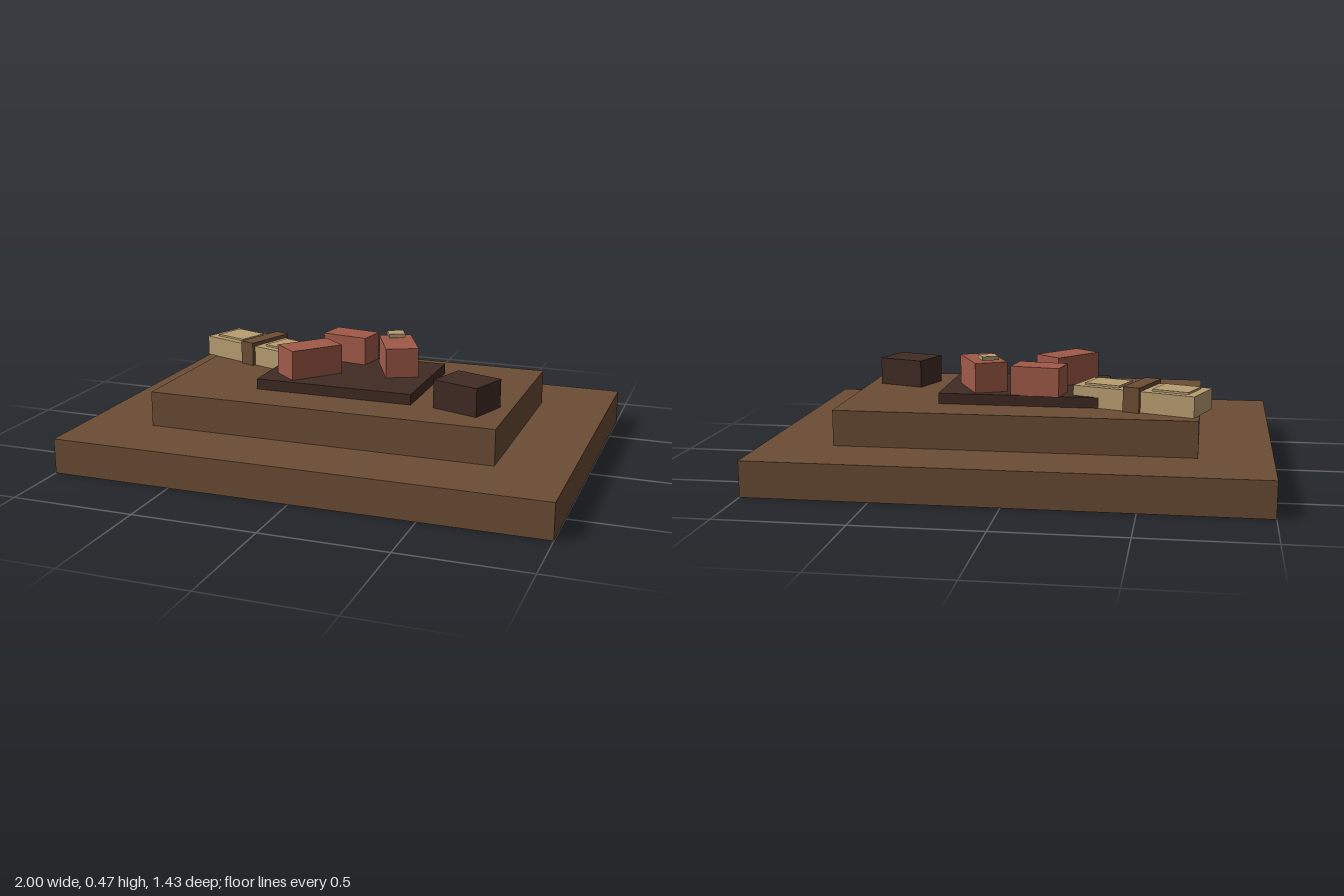
import * as THREE from 'three';

const material = (name, color) => {
  const m = new THREE.MeshStandardMaterial({ color });
  m.name = name;
  return m;
};

export function createModel() {
  const wood = material('brown wood', 0x6b4d34);
  const dark = material('dark wood', 0x402b23);
  const clay = material('red clay', 0xa05a48);
  const cream = material('cream paper', 0xb89e72);

  const model = new THREE.Group();
  model.name = 'steppedDisplay';

  // Box of size w, h, d whose underside sits at y, turned about the vertical
  const box = (parent, name, mat, [w, h, d], [x, y, z], turn = 0) => {
    const mesh = new THREE.Mesh(new THREE.BoxGeometry(w, h, d), mat);
    mesh.name = name;
    mesh.position.set(x, y + h / 2, z);
    mesh.rotation.y = turn;
    parent.add(mesh);
    return mesh;
  };

  // Stepped plinth and tray
  box(model, 'lowerStep', wood, [2, 0.143, 1.429], [0, 0, 0]);
  box(model, 'upperStep', wood, [1.429, 0.143, 0.857], [0, 0.143, 0]);
  box(model, 'tray', dark, [0.657, 0.043, 0.486], [0, 0.286, 0]);

  // Loose bricks lying on the tray
  box(model, 'frontBrick', clay, [0.228, 0.121, 0.134], [-0.158, 0.329, 0.086], 0.86);
  box(model, 'backBrick', clay, [0.2, 0.116, 0.126], [-0.073, 0.329, -0.186], -0.16);
  box(model, 'sideBrick', clay, [0.241, 0.121, 0.134], [0.171, 0.329, -0.086], -1.13);
  box(model, 'smallTile', cream, [0.068, 0.016, 0.068], [0.139, 0.457, -0.15], 0.45);

  // Dark block at the corner of the upper step
  box(model, 'darkBlock', dark, [0.2, 0.114, 0.171], [0.543, 0.286, 0.199], -0.33);

  // Strapped bundle with a raised panel on each half
  const bundle = new THREE.Group();
  bundle.name = 'bundle';
  bundle.position.set(-0.487, 0.286, -0.2);
  bundle.rotation.y = -0.345;
  model.add(bundle);
  box(bundle, 'bundleStrap', wood, [0.068, 0.1, 0.226], [0, 0, 0]);
  for (const side of [-1, 1]) {
    box(bundle, 'bundleHalf', cream, [0.222, 0.084, 0.196], [side * 0.145, 0, 0]);
    box(bundle, 'bundlePanel', cream, [0.15, 0.008, 0.135], [side * 0.145, 0.084, 0]);
  }
  return model;
}
